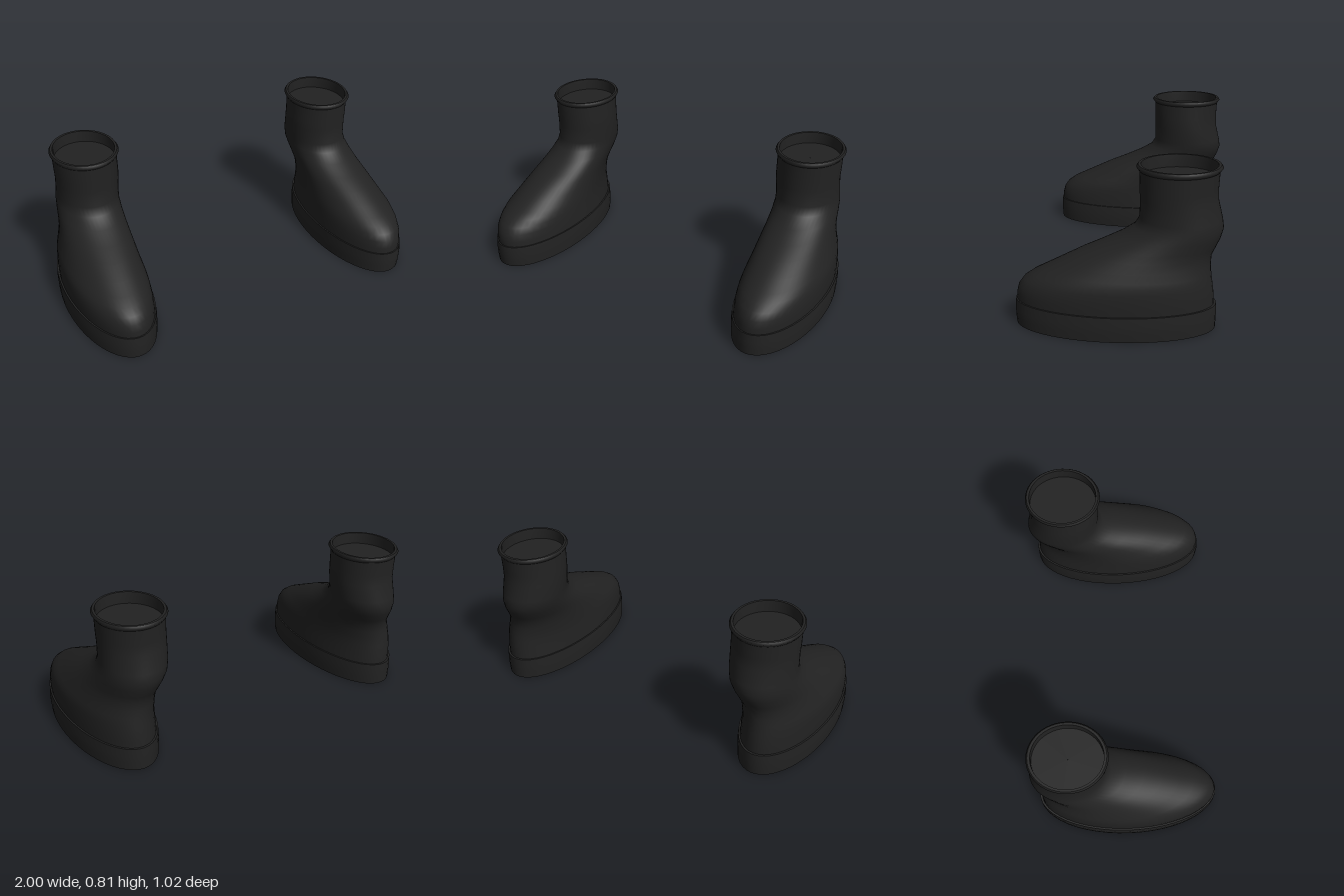
import * as THREE from 'three';

const SIDES = 48;

// Skin elliptical rings [y, inner x, outer x, back z, front z]; a repeated ring makes a crease.
function loft(rings, side) {
  const pos = [], index = [];
  for (const [y, xi, xo, zb, zf] of rings) {
    for (let i = 0; i < SIDES; i++) {
      const a = (i / SIDES) * Math.PI * 2;
      const x = (xi + xo) / 2 + Math.cos(a) * (xo - xi) / 2;
      const z = (zb + zf) / 2 + Math.sin(a) * (zf - zb) / 2;
      pos.push(side * x, y, z);
    }
  }
  for (let r = 0; r < rings.length - 1; r++) {
    for (let i = 0; i < SIDES; i++) {
      const j = (i + 1) % SIDES;
      const a = r * SIDES + i, b = r * SIDES + j, c = a + SIDES, d = b + SIDES;
      if (side > 0) index.push(a, c, b, b, c, d);
      else index.push(a, b, c, b, d, c);
    }
  }
  const geo = new THREE.BufferGeometry();
  geo.setAttribute('position', new THREE.Float32BufferAttribute(pos, 3));
  geo.setIndex(index);
  geo.computeVertexNormals();
  return geo;
}

// Rings of the foot and shaft, from the sole up to the cuff
const UPPER = [
  [0.12, 0.565, 0.988, -0.470, 0.500],
  [0.16, 0.567, 0.989, -0.468, 0.500],
  [0.20, 0.570, 0.988, -0.465, 0.490],
  [0.235, 0.572, 0.985, -0.460, 0.465],
  [0.265, 0.574, 0.980, -0.456, 0.422],
  [0.29, 0.576, 0.970, -0.453, 0.370],
  [0.33, 0.578, 0.954, -0.450, 0.288],
  [0.375, 0.579, 0.936, -0.453, 0.195],
  [0.415, 0.577, 0.922, -0.473, 0.100],
  [0.46, 0.572, 0.911, -0.495, 0.000],
  [0.505, 0.566, 0.902, -0.508, -0.075],
  [0.55, 0.561, 0.896, -0.502, -0.102],
  [0.64, 0.555, 0.893, -0.481, -0.102],
  [0.70, 0.556, 0.896, -0.479, -0.101],
  [0.79, 0.558, 0.898, -0.484, -0.099],
];

// Thick sole, closed below and on top
const SOLE = [
  [0, 0.776, 0.776, -0.01, 0.01],
  [0, 0.557, 0.996, -0.479, 0.506],
  [0, 0.557, 0.996, -0.479, 0.506],
  [0.04, 0.555, 0.999, -0.481, 0.509],
  [0.08, 0.554, 1.0, -0.482, 0.510],
  [0.127, 0.557, 0.997, -0.481, 0.507],
  [0.127, 0.557, 0.997, -0.481, 0.507],
  [0.127, 0.58, 0.97, -0.45, 0.48],
];

// Bevelled cuff rolling over into the opening
const CUFF = [
  [0.787, 0.560, 0.896, -0.482, -0.102],
  [0.787, 0.554, 0.902, -0.487, -0.096],
  [0.802, 0.545, 0.911, -0.498, -0.085],
  [0.814, 0.553, 0.903, -0.490, -0.094],
  [0.814, 0.553, 0.903, -0.490, -0.094],
  [0.814, 0.565, 0.891, -0.476, -0.107],
  [0.814, 0.565, 0.891, -0.476, -0.107],
  [0.79, 0.566, 0.890, -0.475, -0.108],
  [0.75, 0.566, 0.890, -0.475, -0.108],
];

// Floor closing the opening just below the cuff
const LINING = [
  [0.75, 0.564, 0.892, -0.477, -0.106],
  [0.75, 0.727, 0.729, -0.292, -0.290],
];

export function createModel() {
  const model = new THREE.Group();
  model.name = 'boots';
  const black = new THREE.MeshStandardMaterial({ color: 0x222222 });
  black.name = 'black rubber';

  for (const [side, label] of [[1, 'left'], [-1, 'right']]) {
    const boot = new THREE.Group();
    boot.name = label + 'Boot';
    for (const [name, rings] of Object.entries({ upper: UPPER, sole: SOLE, cuff: CUFF, lining: LINING })) {
      const mesh = new THREE.Mesh(loft(rings, side), black);
      mesh.name = name;
      boot.add(mesh);
    }
    model.add(boot);
  }
  return model;
}
